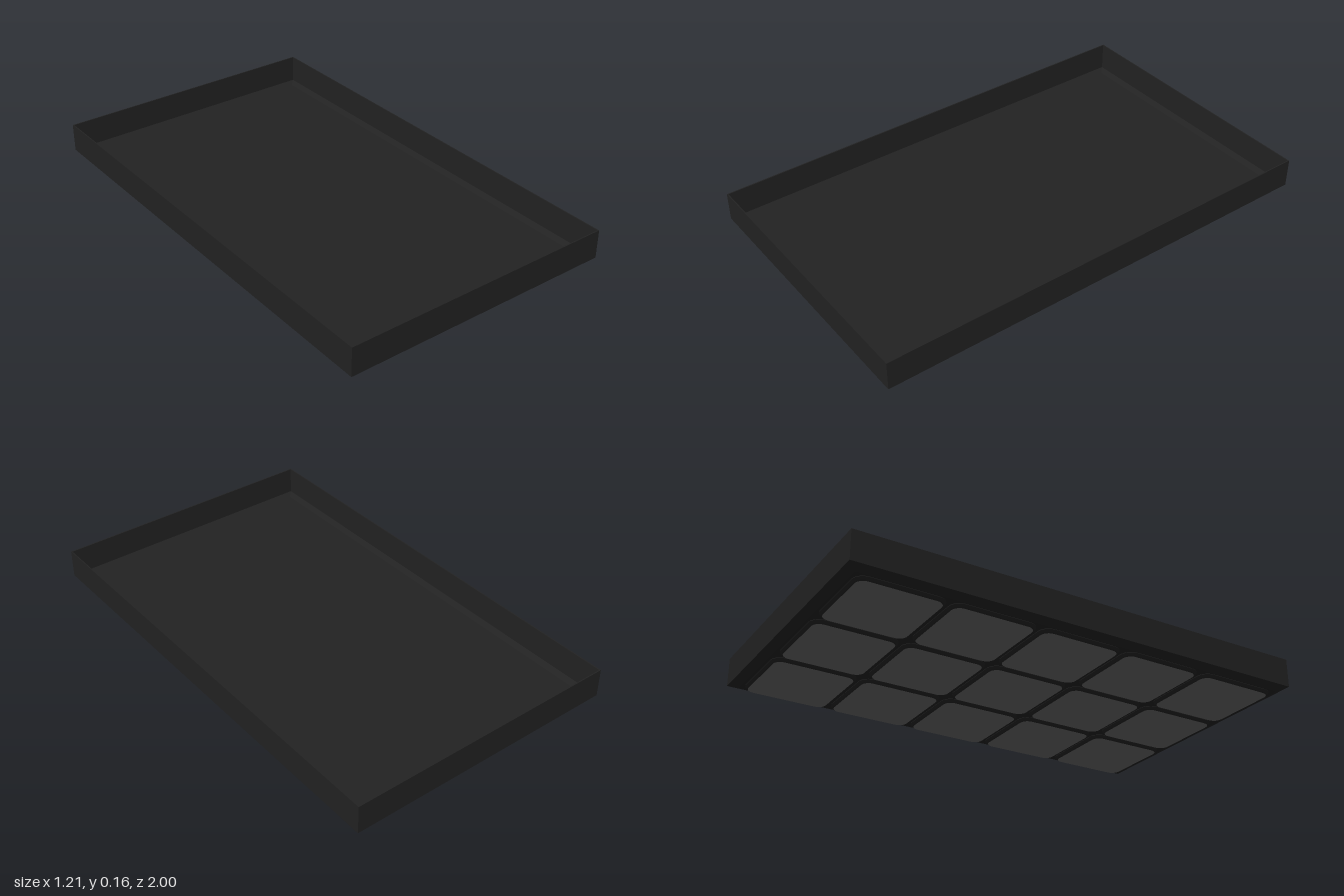
import * as THREE from 'three';

// Points of a rectangle (optionally rounded) at height y
function ring([hx, hz, y, r = 0], steps) {
  const pts = [];
  [[1, 1], [-1, 1], [-1, -1], [1, -1]].forEach(([sx, sz], q) => {
    for (let i = 0; i <= steps; i++) {
      const a = (q + (steps ? i / steps : 0)) * Math.PI / 2;
      pts.push(new THREE.Vector3(sx * (hx - r) + r * Math.cos(a), y, sz * (hz - r) + r * Math.sin(a)));
    }
  });
  return pts;
}

// Flat-shaded skin through a list of rings, with optional caps
function loft(profile, { steps = 0, capStart = false, capEnd = false } = {}) {
  const rings = profile.map((p) => ring(p, steps));
  const n = rings[0].length;
  const out = [];
  for (let k = 0; k + 1 < rings.length; k++) {
    for (let i = 0; i < n; i++) {
      const j = (i + 1) % n;
      const [a, b, c, d] = [rings[k][i], rings[k][j], rings[k + 1][i], rings[k + 1][j]];
      out.push(a, c, b, b, c, d);
    }
  }
  const first = rings[0], last = rings[rings.length - 1];
  for (let i = 1; i < n - 1; i++) {
    if (capStart) out.push(first[0], first[i], first[i + 1]);
    if (capEnd) out.push(last[0], last[i + 1], last[i]);
  }
  const geo = new THREE.BufferGeometry().setFromPoints(out);
  geo.computeVertexNormals();
  return geo;
}

export function createModel() {
  const model = new THREE.Group();
  model.name = 'tray';
  const dark = new THREE.MeshStandardMaterial({ color: 0x222222 });
  const grey = new THREE.MeshStandardMaterial({ color: 0x666666 });

  // Thin-walled tray: chamfered underside, wall, rim, inner wall, chamfered floor
  const shell = new THREE.Mesh(loft([
    [0.565, 0.96, 0.014],
    [0.605, 1.0, 0.03],
    [0.605, 1.0, 0.155],
    [0.6, 0.995, 0.155],
    [0.6, 0.995, 0.033],
    [0.575, 0.97, 0.02],
  ], { capStart: true, capEnd: true }), dark);
  shell.name = 'trayShell';
  model.add(shell);

  // Raised pads under the floor: bevelled rim and flat foot face
  const rimGeo = loft([[0.175, 0.176, 0.003, 0.04], [0.183, 0.184, 0.012, 0.048], [0.183, 0.184, 0.015, 0.048]], { steps: 6 });
  const bevelGeo = loft([[0.171, 0.172, 0, 0.036], [0.175, 0.176, 0.003, 0.04]], { steps: 6 });
  const faceGeo = loft([[0.171, 0.172, 0, 0.036]], { steps: 6, capStart: true });
  const pads = new THREE.Group();
  pads.name = 'footPads';
  for (let col = -1; col <= 1; col++) {
    for (let row = -2; row <= 2; row++) {
      const pad = new THREE.Group();
      pad.name = 'footPad';
      [['padRim', rimGeo, dark], ['padBevel', bevelGeo, dark], ['padFace', faceGeo, grey]].forEach(([name, geo, mat]) => {
        const mesh = new THREE.Mesh(geo, mat);
        mesh.name = name;
        pad.add(mesh);
      });
      pad.position.set(col * 0.379, 0, row * 0.383);
      pads.add(pad);
    }
  }
  model.add(pads);
  return model;
}
